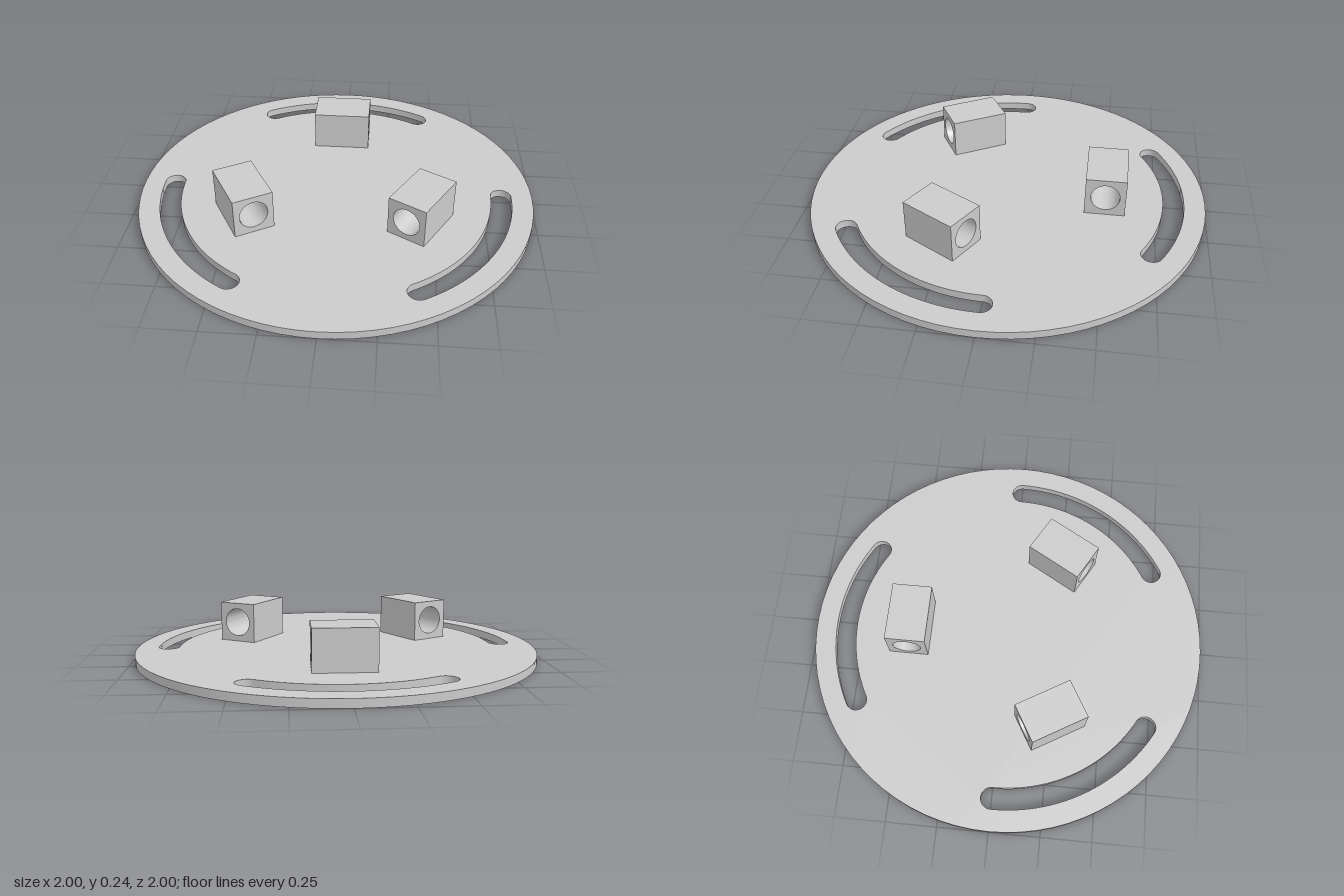
import * as THREE from 'three';
import { toCreasedNormals } from 'three/addons/utils/BufferGeometryUtils.js';

const THICK = 0.04;
const ANGLES = [90, 210, 330].map(THREE.MathUtils.degToRad);
const material = new THREE.MeshStandardMaterial({ color: 0xcccccc });

function extrude(shape, depth, curveSegments) {
  const geo = new THREE.ExtrudeGeometry(shape, { depth, curveSegments, bevelEnabled: false });
  return toCreasedNormals(geo, 0.5);
}

// Curved slot with round ends, spanning 60 degrees around the given angle
function slotPath(angle) {
  const r = 0.843, w = 0.052, a = angle - Math.PI / 6, b = angle + Math.PI / 6;
  const path = new THREE.Path();
  path.absarc(0, 0, r + w, a, b, false);
  path.absarc(r * Math.cos(b), r * Math.sin(b), w, b, b + Math.PI, false);
  path.absarc(0, 0, r - w, b, a, true);
  path.absarc(r * Math.cos(a), r * Math.sin(a), w, a + Math.PI, a + 2 * Math.PI, false);
  return path;
}

export function createModel() {
  const model = new THREE.Group();
  model.name = 'slottedMountingPlate';

  // Round plate with three curved slots
  const disc = new THREE.Shape().absarc(0, 0, 1, 0, Math.PI * 2, false);
  disc.holes = ANGLES.map(slotPath);
  const plate = new THREE.Mesh(extrude(disc, THICK, 40).rotateX(-Math.PI / 2), material);
  plate.name = 'plate';
  model.add(plate);

  // Square block section with a bore running along the tangent of the plate
  const size = 0.2, length = 0.295;
  const section = new THREE.Shape([
    new THREE.Vector2(0.4, 0), new THREE.Vector2(0.6, 0),
    new THREE.Vector2(0.6, size), new THREE.Vector2(0.4, size),
  ]);
  section.holes.push(new THREE.Path().absarc(0.5, size / 2, 0.071, 0, Math.PI * 2, true));
  const blockGeo = extrude(section, length, 24).translate(0, THICK, -length / 2);

  // One bored block in front of each slot
  ANGLES.forEach((angle, i) => {
    const block = new THREE.Mesh(blockGeo, material);
    block.name = ['backBlock', 'rightBlock', 'leftBlock'][i];
    block.rotation.y = angle;
    model.add(block);
  });
  return model;
}
